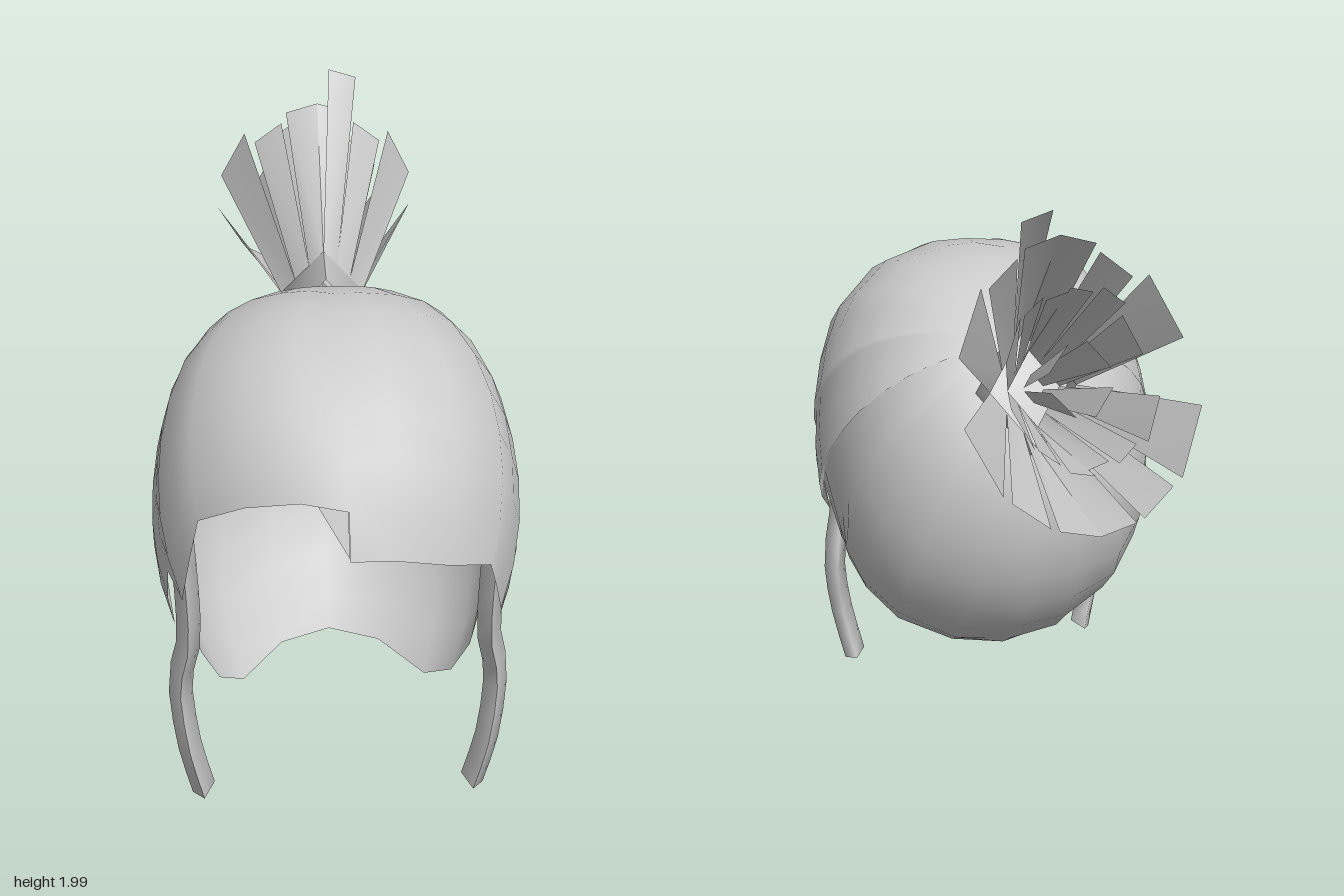
import * as THREE from 'three';

const V = (x, y, z) => new THREE.Vector3(x, y, z);
const hair = new THREE.MeshStandardMaterial({ color: 0xcccccc, side: THREE.DoubleSide });
hair.name = 'hair grey';

function surface(name, points, index) {
  const g = new THREE.BufferGeometry().setFromPoints(points);
  g.setIndex(index);
  g.computeVertexNormals();
  const m = new THREE.Mesh(g, hair);
  m.name = name;
  return m;
}

// Rounded skull form, measured outwards from its centre and squarer towards the top
const centre = V(0, 0.9, 0.35);
const crown = V(0, 0.75, -0.66).normalize();
function skullRadius(d) {
  const n = 2 + 0.6 * Math.max(0, d.y);
  return Math.pow(Math.pow(Math.abs(d.x) / 0.545, n) + Math.pow(Math.hypot(d.y, d.z) / 0.662, n), -1 / n);
}

// Hairline: long fringe on the left, short fringe on the right, shared sides and nape
const leftFringe = [[0, 1.07, 1], [0.12, 1.07, 1], [0.28, 1.01, 0.93], [0.41, 0.95, 0.83], [0.44, 0.84, 0.77], [0.465, 0.73, 0.71]];
const rightFringe = [[-0.465, 0.78, 0.69], [-0.44, 0.93, 0.73], [-0.41, 1.08, 0.76], [-0.28, 1.17, 0.86], [-0.13, 1.21, 0.92]];
const side = [
  [0.505, 0.83, 0.61], [0.51, 0.715, 0.57], [0.495, 0.6, 0.53], [0.54, 0.79, 0.36], [0.495, 0.6, 0.3],
  [0.42, 0.43, 0.43], [0.365, 0.33, 0.42], [0.29, 0.26, 0.33], [0.16, 0.26, 0.12],
];

function hairCap() {
  const edge = [
    ...leftFringe, ...side, [0, 0.265, 0.05],
    ...side.map(([x, y, z]) => [-x, y, z]).reverse(), ...rightFringe,
  ];
  const rows = 10, points = [], index = [];
  edge.forEach((e, i) => {
    const end = V(...e).sub(centre);
    const dir = end.clone().normalize();
    const fit = end.length() / skullRadius(dir);
    const angle = crown.angleTo(dir);
    const last = i === edge.length - 1;
    for (let j = 0; j <= rows; j++) {
      // Sweep from the crown to the hairline over the skull form
      const t = j / rows;
      const d = crown.clone().multiplyScalar(Math.sin((1 - t) * angle)).addScaledVector(dir, Math.sin(t * angle)).normalize();
      const r = skullRadius(d) * (1 + (fit - 1) * t * t);
      points.push(d.multiplyScalar(r).add(centre));
      if (j === rows) continue;
      const a = i * (rows + 1) + j, b = last ? j : a + rows + 1;
      if (j > 0) index.push(a, b + 1, b);
      index.push(a, a + 1, b + 1);
      // The parting: the short fringe stops one row above the long one
      if (last && j === rows - 1) index.splice(-6, 6, a, a + 1, b);
    }
  });
  return surface('hairCap', points, index);
}

// Curved four-sided lock in front of each ear, flattened sideways
function sideLock(s) {
  const flat = 0.65;
  const path = [[0.465, 0.93, 0.58], [0.455, 0.75, 0.58], [0.455, 0.57, 0.575], [0.485, 0.41, 0.545], [0.465, 0.2, 0.57], [0.425, 0.008, 0.55]];
  const curve = new THREE.CatmullRomCurve3(path.map(([x, y, z]) => V((s * x) / flat, y, z)));
  const g = new THREE.TubeGeometry(curve, 10, 0.056, 4, false);
  g.scale(flat, 1, 1);
  g.computeVertexNormals();
  const m = new THREE.Mesh(g, hair);
  m.name = s > 0 ? 'leftSideLock' : 'rightSideLock';
  return m;
}

// Ponytail: upward axis, and the rings where it starts and ends
const up = V(0, 0.895, 0.446);
const tieCentre = V(0, 1.327, -0.315);
const tipCentre = V(0, 1.54, -0.8);
const place = (c, x, u) => V(c.x + x, c.y, c.z).addScaledVector(up, u);

// Four-sided band around the base of the ponytail
function hairTie() {
  const points = [], index = [];
  for (let i = 0; i <= 4; i++) {
    const a = (i * Math.PI) / 2, x = Math.sin(a), u = Math.cos(a);
    points.push(place(V(0, 1.275, -0.182), x * 0.145, u * 0.204), place(tieCentre, x * 0.135, u * 0.194));
    if (i < 4) index.push(2 * i, 2 * i + 1, 2 * i + 3, 2 * i, 2 * i + 3, 2 * i + 2);
  }
  return surface('hairTie', points, index);
}

// Flat strip from a stretch (0 to 1) of one side of the tie to an arc (degrees) of the tip ring
function strip([sx, su], [f0, f1], arc, spread, length) {
  const base = (f) => place(tieCentre, sx * f * 0.133 * spread, su * (1 - f) * 0.19 * spread);
  const tip = (f, deg, l) => {
    const a = THREE.MathUtils.degToRad(deg), b = base(f);
    return place(tipCentre, sx * Math.sin(a) * 0.35 * spread, su * Math.cos(a) * 0.42 * spread).sub(b).multiplyScalar(l).add(b);
  };
  const points = [base(f0), base(f1), tip(f1, arc[1], length * 0.98), tip(f0, arc[0], length)];
  return surface('ponytailStrip', points, [0, 1, 2, 0, 2, 3]);
}

function ponytail() {
  const g = new THREE.Group();
  g.name = 'ponytail';
  g.add(hairTie());
  const stretches = [[0, 0.34], [0.34, 0.67], [0.67, 1]];
  const arcs = [[0, 18], [22, 41], [46, 76]];
  // Each quarter: its side signs and the lengths of its three outer strips
  const quarters = [
    [[1, 1], [0.92, 0.85, 0.92]], [[-1, 1], [0.92, 0.85, 0.92]],
    [[1, -1], [1.02, 1, 1]], [[-1, -1], [1.02, 1, 1]],
  ];
  quarters.forEach(([sign, lengths], q) => {
    arcs.forEach((arc, i) => {
      g.add(strip(sign, stretches[i], arc, 1, lengths[i]));
      // Second layer inside the first
      g.add(strip(sign, stretches[i], arc, 0.6, 0.94 + 0.06 * ((i + q) % 3)));
    });
    // Core strips
    g.add(strip(sign, [0.1, 0.9], [15, 75], 0.25, 0.98 + 0.05 * (q % 2)));
  });
  // Long stray strip on top
  g.add(strip([1, 1], [0, 0.34], [6, 20], 1.03, 1.12));
  return g;
}

export function createModel() {
  const model = new THREE.Group();
  model.name = 'hairstyle';
  model.add(hairCap(), sideLock(1), sideLock(-1), ponytail());
  // Small tuft tucked under the parting
  model.add(surface('partingTuft', [V(-0.09, 1.21, 0.91), V(0, 1.07, 0.98), V(0, 1.22, 0.92)], [0, 1, 2]));
  return model;
}
